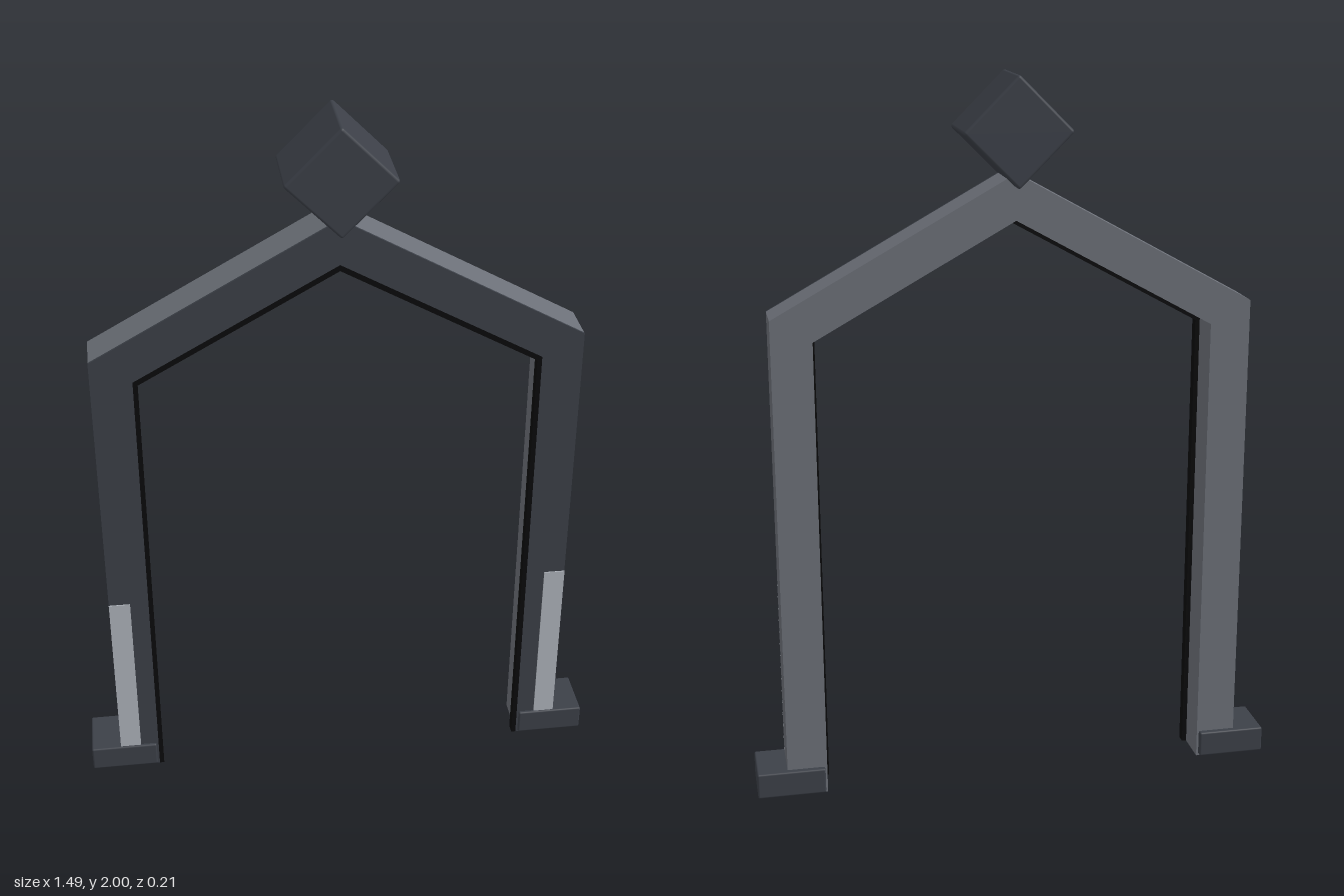
import * as THREE from 'three';
import { RoundedBoxGeometry } from 'three/addons/geometries/RoundedBoxGeometry.js';

const mat = (color) => new THREE.MeshStandardMaterial({ color });
const SLOPE = 0.556;

// Gabled arch band between an outer and an inner outline, open at the bottom.
function archGeometry(outer, inner, z0, z1) {
  const shape = new THREE.Shape([
    [outer.x, 0], [outer.x, outer.top - outer.x * SLOPE], [0, outer.top],
    [-outer.x, outer.top - outer.x * SLOPE], [-outer.x, 0],
    [-inner.x, 0], [-inner.x, inner.top - inner.x * SLOPE], [0, inner.top],
    [inner.x, inner.top - inner.x * SLOPE], [inner.x, 0],
  ].map(([x, y]) => new THREE.Vector2(x, y)));
  const geo = new THREE.ExtrudeGeometry(shape, { depth: z1 - z0, bevelEnabled: false });
  return geo.translate(0, 0, z0);
}

export function createModel() {
  const group = new THREE.Group();
  const body = mat(0x6c7078), dark = mat(0x3c4048), black = mat(0x0a0a0b), pale = mat(0xb0b5bd);

  const add = (name, geo, material, x = 0, y = 0, z = 0) => {
    const mesh = new THREE.Mesh(geo, material);
    mesh.name = name;
    mesh.position.set(x, y, z);
    group.add(mesh);
    return mesh;
  };

  // Arch frame, its dark front plate and the black lip along the inside
  const outer = { x: 0.66, top: 1.745 };
  const inner = { x: 0.548, top: 1.62 };
  const lip = { x: 0.535, top: 1.603 };
  add('archFrame', archGeometry(outer, inner, -0.06, 0.06), body);
  add('frontPlate', archGeometry(outer, inner, 0.06, 0.067), dark);
  add('innerLip', archGeometry(inner, lip, 0.04, 0.067), black);

  // Pale strips on the leg fronts, and the feet
  for (const [side, s] of [['left', 1], ['right', -1]]) {
    add(side + 'LegStrip', new THREE.BoxGeometry(0.06, 0.56, 0.006), pale, s * 0.63, 0.32, 0.067);
    add(side + 'Foot', new RoundedBoxGeometry(0.192, 0.074, 0.152, 2, 0.005), dark, s * 0.65, 0.042, 0);
  }

  // Cube balanced on its edge at the peak
  const cube = add('peakCube', new RoundedBoxGeometry(0.21, 0.21, 0.21, 2, 0.008), dark, 0, 1.855, 0);
  cube.rotation.z = Math.PI / 4;

  return group;
}
